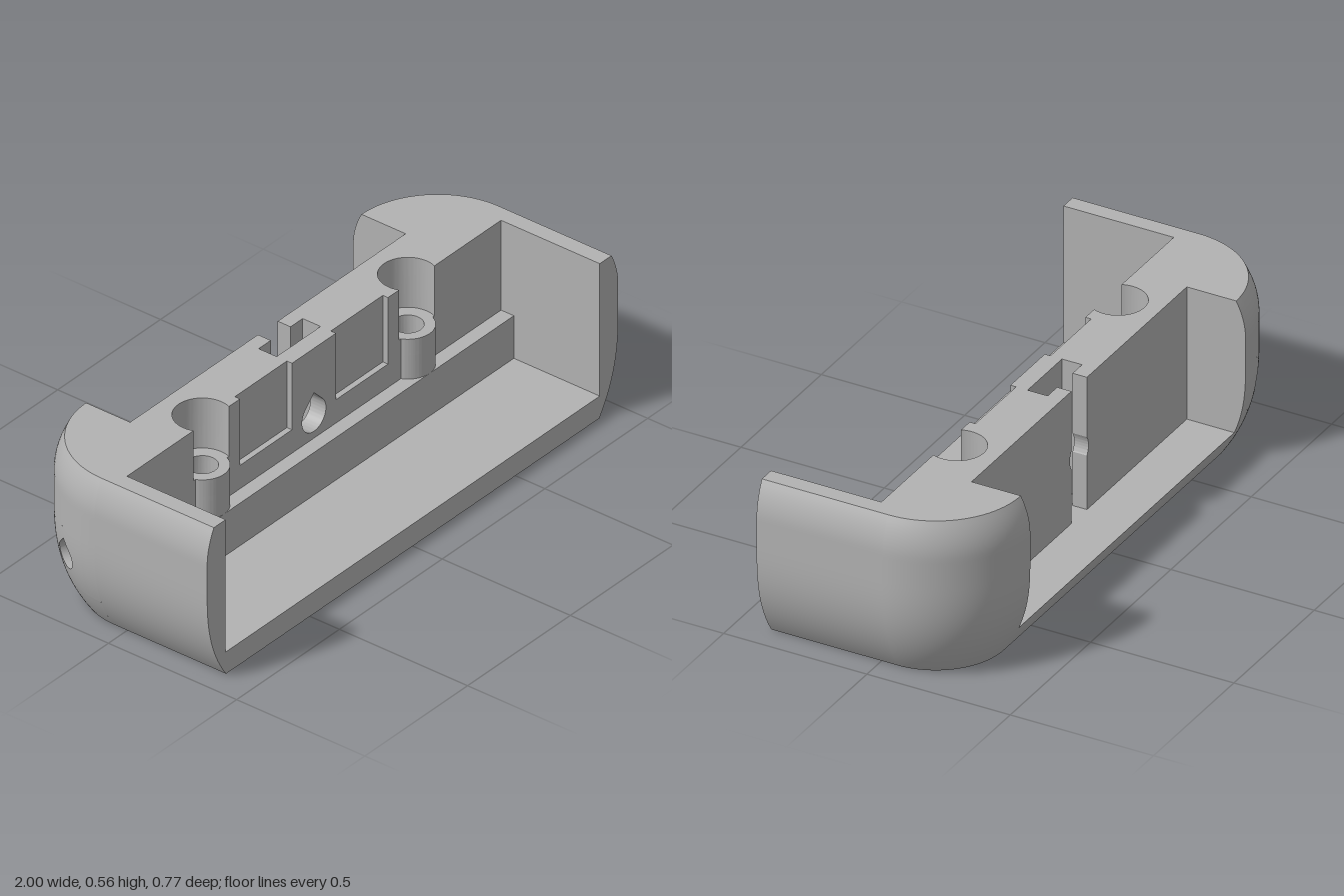
import * as THREE from 'three';
import { toCreasedNormals } from 'three/addons/utils/BufferGeometryUtils.js';

const H = 0.562, ZF = 0.385, CX = 0.67, CZ = -0.055, R = 0.33; // height, front z, corner centre and radius
const POCKET = 0.91, FLOOR = 0.08, BACK_FLOOR = 0.095, SLOT = 0.107, NECK = 0.048, LEDGE = 0.235;
const SCREW_X = 0.5, SCREW_S = 0.035; // screw hole centre (S is -z)
const rad = THREE.MathUtils.degToRad;

// How far the outer skin is drawn in at height y
const inset = (y) =>
  y < 0.34 ? 0.092 * ((0.34 - y) / 0.34) ** 2.6 : y > 0.44 ? 0.033 * ((y - 0.44) / (H - 0.44)) ** 2 : 0;

// Outer corner surface at angle t (0 = side, 90 = back)
const corner = (t, y) => {
  const r = R - inset(y);
  return new THREE.Vector3(CX + r * Math.cos(rad(t)), y, CZ - r * Math.sin(rad(t)));
};

// Smooth surface from a rule f(a, b), both 0..1
function grid(f, na, nb) {
  const pos = [], idx = [];
  for (let j = 0; j <= nb; j++) for (let i = 0; i <= na; i++) pos.push(...f(i / na, j / nb).toArray());
  for (let j = 0; j < nb; j++) for (let i = 0; i < na; i++) {
    const p = j * (na + 1) + i, q = p + na + 1;
    idx.push(p, p + 1, q + 1, p, q + 1, q);
  }
  const g = new THREE.BufferGeometry();
  g.setAttribute('position', new THREE.Float32BufferAttribute(pos, 3));
  g.setIndex(idx);
  g.computeVertexNormals();
  return g;
}

const extrude = (shape, depth) =>
  toCreasedNormals(new THREE.ExtrudeGeometry(shape, { depth, bevelEnabled: false, curveSegments: 32 }), 0.5);
const layer = (shape, y0, y1) => extrude(shape, y1 - y0).rotateX(-Math.PI / 2).translate(0, y0, 0);
const poly = (pts) => new THREE.Shape(pts.map(([x, y]) => new THREE.Vector2(x, y)));
const flat = (x0, x1, z0, z1, y) =>
  new THREE.PlaneGeometry(x1 - x0, z1 - z0).rotateX(-Math.PI / 2).translate((x0 + x1) / 2, y, (z0 + z1) / 2);
const circle = (x, y, r) => new THREE.Path().absarc(x, y, r, 0, Math.PI * 2, false);

// Plan of one half of the inner wall and side arm, drawn in (x, -z)
function sidePlan({ front = 0, recess = false, boss = false, bore = false, roof = false }) {
  const s = new THREE.Shape();
  s.moveTo(POCKET, -ZF);
  if (roof) {
    const d = inset(H);
    s.lineTo(1 - d, -ZF);
    s.lineTo(1 - d, -CZ);
    s.absarc(CX, -CZ, R - d, 0, Math.PI / 2, false);
  } else {
    for (const [x, y] of [[0.93, -ZF], [0.93, 0.05], [0.75, 0.13], [0.7, 0.33], [CX, 0.33]]) s.lineTo(x, y);
  }
  s.lineTo(CX, 0.18);
  s.lineTo(SLOT, 0.18);
  if (recess) for (const [x, y] of [[SLOT, 0.02], [0.36, 0.02], [0.36, 0]]) s.lineTo(x, y);
  else s.lineTo(SLOT, -front);
  if (boss) {
    const a = Math.asin(SCREW_S / 0.085);
    s.absarc(SCREW_X, SCREW_S, 0.085, -Math.PI + a, -a, false);
  }
  if (bore) {
    const a = Math.asin(SCREW_S / 0.0925);
    s.absarc(SCREW_X, SCREW_S, 0.0925, Math.PI + a, -a, true);
  } else s.holes.push(circle(SCREW_X, SCREW_S, 0.05));
  s.lineTo(POCKET, -front);
  return s;
}

// Teardrop outline radius at angle p, point upwards
function tear(p, r) {
  const off = Math.abs(Math.atan2(Math.cos(p), Math.sin(p))); // angle away from straight up
  return off < Math.PI / 4 ? r / Math.cos(Math.PI / 4 - off) : r;
}

export function createModel() {
  const body = new THREE.MeshStandardMaterial({ color: 0xb2b2b2, side: THREE.DoubleSide });
  body.name = 'grey plastic';
  const model = new THREE.Group();
  model.name = 'mountingShell';
  const add = (parent, name, geo) => {
    const m = new THREE.Mesh(geo, body);
    m.name = name;
    parent.add(m);
  };

  const skin = (parent, t0, t1, y0, y1) =>
    add(parent, 'cornerSkin', grid((a, b) =>
      corner(t0 + (t1 - t0) * a, y0 + (y1 - y0) * b), Math.ceil((t1 - t0) / 3), Math.ceil((y1 - y0) * 60)));

  // Patch of corner skin with a blind teardrop cord hole
  function cordHole(parent, t, dt, y, dy) {
    const deg = 180 / Math.PI / 0.32, inward = new THREE.Vector3(-Math.cos(rad(t)), 0, Math.sin(rad(t)));
    const at = (a, b) => {
      const p = -2 * Math.PI * a, c = Math.cos(p), s = Math.sin(p), m = Math.max(Math.abs(c), Math.abs(s));
      const r = tear(p, 0.045);
      return corner(t + THREE.MathUtils.lerp(r * c * deg, dt * c / m, b),
        y + THREE.MathUtils.lerp(r * s, dy * s / m, b));
    };
    const end = corner(t, y).addScaledVector(inward, 0.13);
    const deep = (a, b) => at(a, 0).addScaledVector(inward, 0.13 * b);
    add(parent, 'cordHoleSkin', grid(at, 48, 8));
    add(parent, 'cordHoleWall', grid(deep, 48, 2));
    add(parent, 'cordHoleEnd', grid((a, b) => deep(a, 1).lerp(end, b), 48, 1));
  }

  for (const side of [1, -1]) {
    const half = new THREE.Group();
    half.name = side > 0 ? 'leftHalf' : 'rightHalf';
    half.scale.x = side;
    model.add(half);

    // Outer skin
    add(half, 'sideSkin', grid((a, b) =>
      new THREE.Vector3(1 - inset(b * H), b * H, ZF + (CZ - ZF) * a), 1, 34));
    if (side > 0) skin(half, 0, 90, 0, H);
    else {
      skin(half, 0, 90, 0, 0.11);
      skin(half, 0, 90, 0.32, H);
      skin(half, 0, 10, 0.11, 0.32);
      skin(half, 80, 90, 0.11, 0.32);
      for (const t of [27.5, 62.5]) cordHole(half, t, 17.5, 0.215, 0.105);
    }
    // Edge of the skin where the back opening cuts it
    add(half, 'openingEdge', grid((a, b) => {
      const y = FLOOR + (H - FLOOR) * b;
      return new THREE.Vector3(CX, y, THREE.MathUtils.lerp(-0.32, inset(y) - ZF, a));
    }, 1, 30));

    // Inner wall with screw boss, panel recess and counterbore
    add(half, 'ledge', layer(sidePlan({ front: 0.05 }), FLOOR, LEDGE));
    add(half, 'bossLayer', layer(sidePlan({ boss: true }), LEDGE, 0.32));
    add(half, 'bossTopLayer', layer(sidePlan({ boss: true, recess: true }), 0.32, 0.38));
    add(half, 'upperWall', layer(sidePlan({ bore: true, recess: true, roof: true }), 0.38, H));

    // Countersunk lower end of the screw hole
    add(half, 'countersink', toCreasedNormals(new THREE.LatheGeometry(
      [[0.05, FLOOR], [0.05, 0.03], [0.075, 0]].map(([x, y]) => new THREE.Vector2(x, y)), 32), 0.5)
      .translate(SCREW_X, 0, -SCREW_S));

    // Lip of the T-slot, notched by the cable hole
    const lip = new THREE.Shape(), bite = Math.acos(NECK / 0.058);
    lip.moveTo(SLOT, BACK_FLOOR);
    lip.lineTo(SLOT, H);
    lip.lineTo(NECK, H);
    lip.absarc(0, 0.318, 0.058, bite, -bite, true);
    lip.lineTo(NECK, BACK_FLOOR);
    add(half, 'slotLip', extrude(lip, 0.05).translate(0, 0, -0.18));
  }

  // Centre web with the teardrop cable hole
  const web = poly([[-SLOT, FLOOR], [SLOT, FLOOR], [SLOT, H], [-SLOT, H]]);
  const drop = [];
  for (let i = 0; i < 64; i++) {
    const p = (i / 64) * Math.PI * 2, r = tear(p, 0.058);
    drop.push(new THREE.Vector2(r * Math.cos(p), 0.318 + r * Math.sin(p)));
  }
  web.holes.push(new THREE.Path(drop));
  add(model, 'centreWeb', extrude(web, 0.06).translate(0, 0, -0.06));
  add(model, 'centreLedge', new THREE.BoxGeometry(2 * SLOT, LEDGE - FLOOR, 0.11)
    .translate(0, (LEDGE + FLOOR) / 2, -0.005));

  // Floors of the pocket, back opening and slot
  add(model, 'pocketFloor', flat(-POCKET, POCKET, 0.04, ZF, FLOOR));
  add(model, 'backFloor', flat(-CX, CX, inset(BACK_FLOOR) - ZF, -0.17, BACK_FLOOR));
  add(model, 'slotFloor', flat(-SLOT, SLOT, -0.17, -0.06, BACK_FLOOR));

  // Curved sill below the back opening
  add(model, 'backSill', grid((a, b) => {
    const y = BACK_FLOOR * b;
    return new THREE.Vector3(CX - 2 * CX * a, y, inset(y) - ZF);
  }, 1, 8));

  // U-shaped front face
  const rim = [];
  for (let i = 0; i <= 34; i++) rim.push([1 - inset((i / 34) * H), (i / 34) * H]);
  const mirrored = rim.map(([x, y]) => [-x, y]).reverse();
  add(model, 'frontFace', new THREE.ShapeGeometry(poly([...rim, [POCKET, H], [POCKET, FLOOR],
    [-POCKET, FLOOR], [-POCKET, H], ...mirrored])).translate(0, 0, ZF));

  // Underside, drawn in (x, z)
  const d = inset(0), base = new THREE.Shape();
  base.moveTo(-1 + d, ZF);
  base.lineTo(-1 + d, CZ);
  base.absarc(-CX, CZ, R - d, Math.PI, Math.PI * 1.5, false);
  base.absarc(CX, CZ, R - d, -Math.PI / 2, 0, false);
  base.lineTo(1 - d, ZF);
  for (const s of [1, -1]) base.holes.push(circle(s * SCREW_X, -SCREW_S, 0.075));
  add(model, 'underside', new THREE.ShapeGeometry(base, 32).rotateX(Math.PI / 2));

  return model;
}
